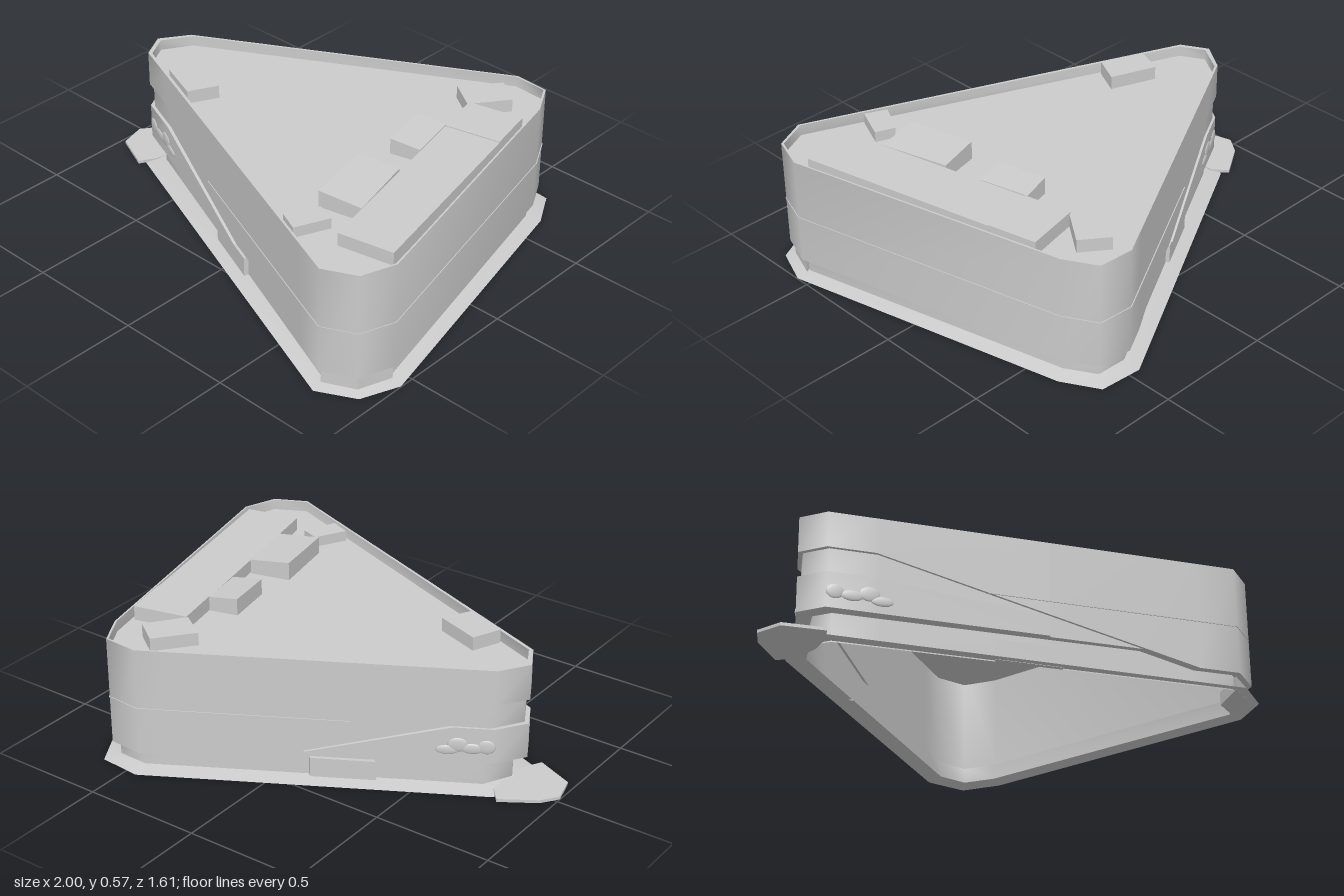
import * as THREE from 'three';
import { toCreasedNormals } from 'three/addons/utils/BufferGeometryUtils.js';

const mat = new THREE.MeshStandardMaterial({ color: 0xcccccc, side: THREE.DoubleSide });

// Plan outlines as [x, z], all with matching corner order starting at the sharp tip
const FACADE = [[-0.84, 0.03], [-0.78, 0.14], [0.78, 0.77], [0.915, 0.705], [0.965, 0.56],
  [0.685, -0.62], [0.61, -0.755], [0.46, -0.765], [-0.76, -0.09]];
const BASE = [[-0.77, 0.04], [-0.73, 0.11], [0.77, 0.735], [0.89, 0.68], [0.94, 0.55],
  [0.66, -0.61], [0.59, -0.73], [0.46, -0.735], [-0.71, -0.08]];
const APRON = [[-0.86, 0.04], [-0.8, 0.17], [0.78, 0.8], [0.935, 0.72], [0.998, 0.56],
  [0.715, -0.64], [0.63, -0.79], [0.45, -0.805], [-0.78, -0.12]];
const N = FACADE.length;

const blend = (a, b, k) => a.map((p, i) => [p[0] + (b[i][0] - p[0]) * k, p[1] + (b[i][1] - p[1]) * k]);
const RECESS = blend(FACADE, BASE, 0.3);
const PORCH = blend(FACADE, BASE, 0.5);
const COURSE = blend(FACADE, APRON, 0.1);

// Point at corner parameter u (fractions lie along an edge)
function at(poly, u) {
  const i = Math.floor(u), f = u - i;
  const a = poly[i % N], b = poly[(i + 1) % N];
  return [a[0] + (b[0] - a[0]) * f, a[1] + (b[1] - a[1]) * f];
}

// Turns [u, y] pairs into 3D points on an outline
const line = (poly, pairs) => pairs.map(([u, y]) => {
  const [x, z] = at(poly, u);
  return [x, y, z];
});
const flat = (pairs, y) => pairs.map(([u]) => [u, y]);
const level = (y) => Array.from({ length: N + 1 }, (_, i) => [i, y]);

export function createModel() {
  const model = new THREE.Group();

  function add(name, geometry) {
    const mesh = new THREE.Mesh(geometry, mat);
    mesh.name = name;
    model.add(mesh);
    return mesh;
  }

  // Surface stretched between a lower and an upper line of points
  function ribbon(name, low, high) {
    const pos = [];
    for (let i = 0; i < low.length - 1; i++) {
      pos.push(...low[i], ...low[i + 1], ...high[i + 1], ...low[i], ...high[i + 1], ...high[i]);
    }
    const g = new THREE.BufferGeometry();
    g.setAttribute('position', new THREE.Float32BufferAttribute(pos, 3));
    add(name, toCreasedNormals(g, 1.2));
  }

  const outline = (pts) => new THREE.Shape(pts.map(([x, z]) => new THREE.Vector2(x, -z)));

  // Upright block over a plan outline; its top may fall towards +x
  function prism(name, pts, y0, y1, fall = 0) {
    const g = new THREE.ExtrudeGeometry(outline(pts), { depth: y1 - y0, bevelEnabled: false });
    g.rotateX(-Math.PI / 2).translate(0, y0, 0);
    const p = g.attributes.position;
    for (let i = 0; i < p.count; i++) {
      if (p.getY(i) > y1 - 0.001) p.setY(i, y1 - fall * (p.getX(i) - pts[0][0]));
    }
    g.computeVertexNormals();
    add(name, g);
  }

  // Ground apron and pointed forecourt
  ribbon('apron', line(APRON, level(0)), line(BASE, level(0.015)));
  prism('forecourt', [[-1, 0.02], [-0.95, -0.05], [-0.81, -0.14], [-0.76, -0.08],
    [-0.75, 0.04], [-0.77, 0.13], [-0.81, 0.2], [-0.97, 0.13]], 0, 0.013);

  // Edges that sweep down both long sides from the tip to the blunt end
  const blunt = [[1.761, 0.13], [1.9, 0.075], [2, 0.075], [3, 0.075], [4, 0.075],
    [5, 0.075], [6, 0.075], [7, 0.075], [7.1, 0.075], [7.239, 0.13]];
  const sweep = [[7.239, 0.13], [7.47, 0.221], [7.885, 0.385], [8, 0.385], [9, 0.385],
    [10, 0.385], [10.115, 0.385], [10.53, 0.221], [10.761, 0.13]];
  const sill = [[7.239, 0.13], [7.47, 0.13], [7.885, 0.28], [8, 0.28], [9, 0.28],
    [10, 0.28], [10.115, 0.28], [10.53, 0.13], [10.761, 0.13]];
  const wrap = sill.slice(1, -1);
  const edge = [...blunt, ...sweep.slice(1)];

  // Recessed ground storey
  const groundTop = [...blunt, ...flat(sweep.slice(1), 0.13)];
  ribbon('groundWall', line(BASE, flat(groundTop, 0.01)), line(BASE, groundTop));
  ribbon('groundSoffit', line(BASE, flat(sweep, 0.13)), line(RECESS, flat(sweep, 0.13)));

  // Diagonal window strip set slightly back
  ribbon('windowStrip', line(RECESS, sill), line(RECESS, sweep));

  // Upper facade
  ribbon('upperFacade', line(FACADE, edge), line(FACADE, flat(edge, 0.535)));
  ribbon('stripSoffit', line(RECESS, sweep), line(FACADE, sweep));
  ribbon('bluntSoffit', line(BASE, blunt), line(FACADE, blunt));

  // Thin string course around the blunt end
  const course = [1.38, 2, 3, 4, 5, 6, 7, 7.6];
  const rim = (poly, y) => line(poly, course.map((u) => [u, y]));
  ribbon('stringCourse', rim(COURSE, 0.276), rim(COURSE, 0.28));
  for (const y of [0.276, 0.28]) ribbon('stringCourseEdge', rim(FACADE, y), rim(COURSE, y));

  // Lower facade wrapped round the tip, tapering along both sides
  ribbon('lowerFacade', line(FACADE, flat(wrap, 0.13)), line(FACADE, wrap));
  ribbon('lowerFacadeTop', line(RECESS, wrap), line(FACADE, wrap));
  ribbon('lowerFacadeSoffit', line(RECESS, flat(wrap, 0.13)), line(FACADE, flat(wrap, 0.13)));

  // Low rounded relief near the tip, on both sides
  const bumps = [[1.02, 0.2, 0.035, 0.03], [1.06, 0.19, 0.045, 0.022], [1.1, 0.205, 0.04, 0.03], [1.13, 0.18, 0.045, 0.02]];
  for (const [u, y, w, h] of bumps) {
    for (const [v, turn] of [[u, -0.384], [9 - u, 0.506]]) {
      const [x, z] = at(FACADE, v);
      const bump = add('relief', new THREE.SphereGeometry(1, 16, 10));
      bump.scale.set(w, h, 0.006);
      bump.rotation.y = turn;
      bump.position.set(x, y, z);
    }
  }

  // Parapet and sunken roof
  ribbon('parapetTop', line(RECESS, level(0.535)), line(FACADE, level(0.535)));
  ribbon('parapetInside', line(RECESS, level(0.49)), line(RECESS, level(0.535)));
  add('roof', new THREE.ShapeGeometry(outline(RECESS)).rotateX(-Math.PI / 2).translate(0, 0.49, 0));

  // Entrance porches on the long sides and at the corner
  for (const [a, b] of [[1.397, 1.564], [7.49, 7.68]]) {
    prism('sidePorch', [at(BASE, a), at(PORCH, a), at(PORCH, b), at(BASE, b)], 0.01, 0.095);
  }
  prism('cornerPorch', [PORCH[2], PORCH[3], PORCH[4], [0.84, 0.6]], 0.01, 0.065);

  // Rooftop plant blocks: plan corners, top height and fall of the top
  const blocks = [
    [[[0.46, -0.67], [0.57, -0.59], [0.46, -0.44], [0.34, -0.52]], 0.545],
    [[[0.46, -0.45], [0.69, -0.5], [0.735, -0.3], [0.504, -0.25]], 0.55],
    [[[0.504, -0.25], [0.735, -0.3], [0.92, 0.53], [0.69, 0.575]], 0.546],
    [[[0.38, -0.23], [0.5, -0.26], [0.545, -0.05], [0.42, -0.02]], 0.562, 0.1],
    [[[0.41, 0.15], [0.58, 0.11], [0.65, 0.4], [0.47, 0.44]], 0.568, 0.09],
    [[[0.52, 0.48], [0.6, 0.51], [0.54, 0.65], [0.45, 0.61]], 0.535],
    [[[-0.55, 0.07], [-0.36, 0.14], [-0.42, 0.26], [-0.6, 0.19]], 0.547],
  ];
  for (const [pts, top, fall] of blocks) prism('roofBlock', pts, 0.49, top, fall);

  return model;
}
